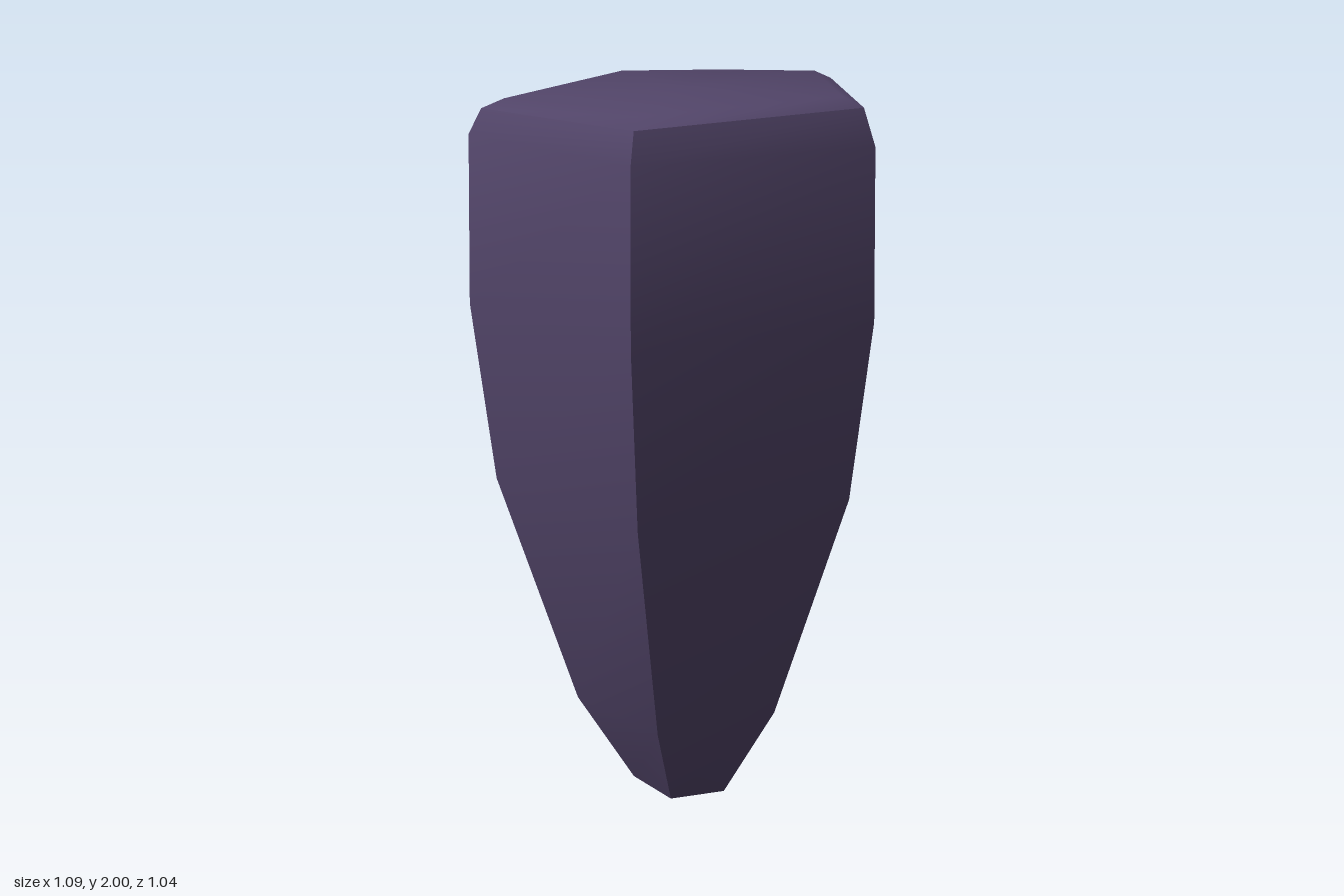
import * as THREE from 'three';
import { toCreasedNormals } from 'three/addons/utils/BufferGeometryUtils.js';

// Irregular five-sided outline at the widest level, [x, z], clockwise from above;
// the second point is a soft bulge within the back-left face.
const OUTLINE = [[0.06, -0.525], [0.32, -0.315], [0.54, -0.06], [0.275, 0.52], [-0.41, 0.48], [-0.545, -0.175]];

// Cross-sections from tip to crown: height, outline scale, slant of the level
const LEVELS = [
  [0.012, 0.243, -0.015],
  [0.28, 0.52, 0],
  [0.94, 0.895, 0],
  [1.43, 1, 0],
  [1.88, 0.985, 0],
  [1.96, 0.925, 0.02],
  [1.984, 0.82, 0.02],
];

function shardGeometry() {
  const n = OUTLINE.length;
  const positions = [];
  const index = [];
  for (const [y, scale, slant] of LEVELS) {
    for (const [x, z] of OUTLINE) positions.push(x * scale, y + slant * (x + z), z * scale);
  }
  const bottom = positions.length / 3;
  const top = bottom + 1;
  positions.push(0, LEVELS[0][0], 0, 0, LEVELS[LEVELS.length - 1][0], 0);

  // Side walls, bevel and domed crown
  for (let r = 0; r < LEVELS.length - 1; r++) {
    for (let i = 0; i < n; i++) {
      const a = r * n + i;
      const b = r * n + (i + 1) % n;
      index.push(b, a, a + n, b, a + n, b + n);
    }
  }
  // Flat tip and crown centre
  const last = (LEVELS.length - 1) * n;
  for (let i = 0; i < n; i++) {
    const j = (i + 1) % n;
    index.push(bottom, i, j, top, last + j, last + i);
  }

  const geometry = new THREE.BufferGeometry();
  geometry.setAttribute('position', new THREE.Float32BufferAttribute(positions, 3));
  geometry.setIndex(index);
  // Smooth along each face, sharp at the corners
  return toCreasedNormals(geometry, THREE.MathUtils.degToRad(33));
}

export function createModel() {
  const model = new THREE.Group();
  model.name = 'stoneShard';

  const stone = new THREE.MeshStandardMaterial({ color: 0x524569 });
  stone.name = 'duskyPurple';

  const shard = new THREE.Mesh(shardGeometry(), stone);
  shard.name = 'shard';
  model.add(shard);
  return model;
}
